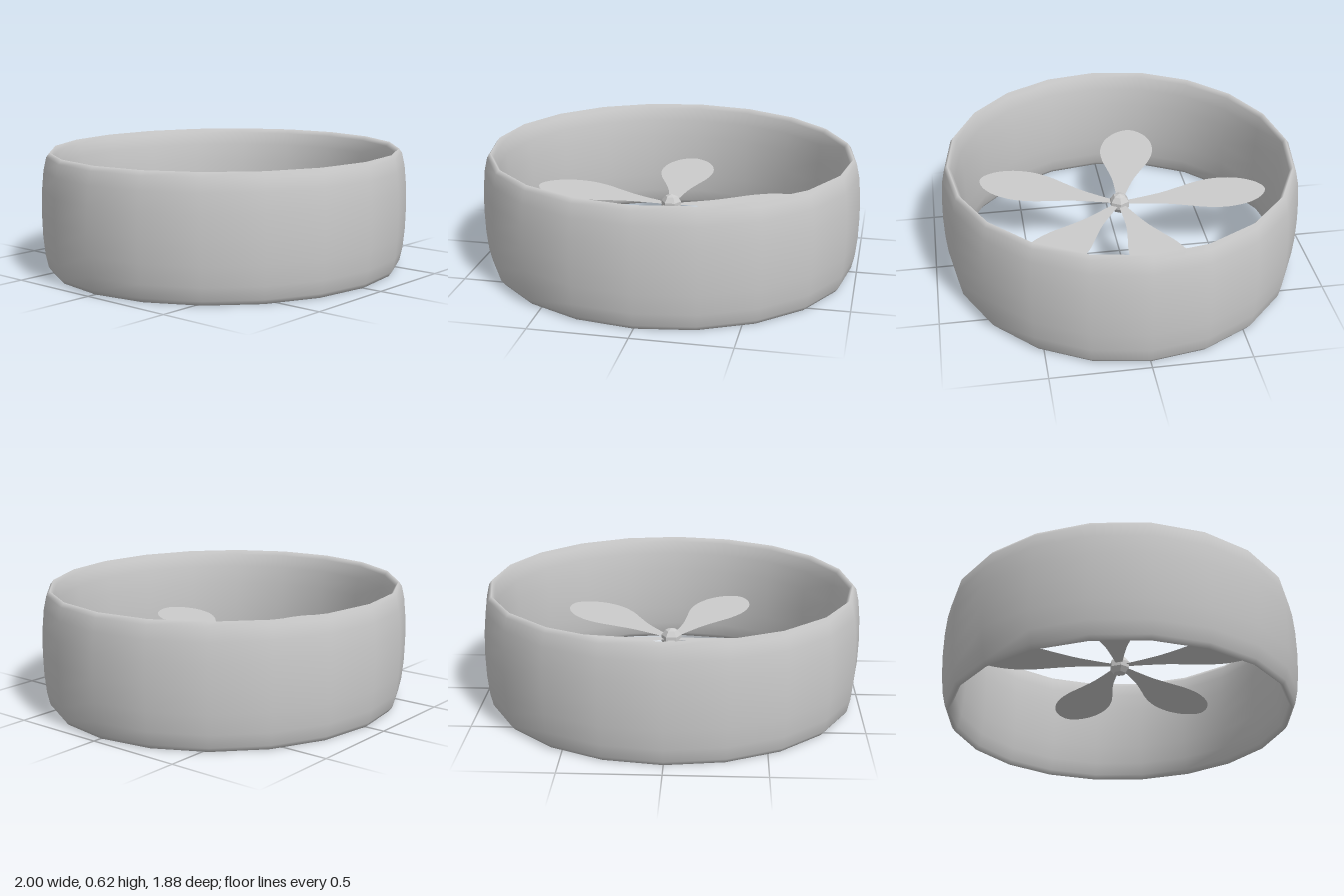
import * as THREE from 'three';

const MID_Y = 0.3125;

// Half of the blade outline: distance from the axis, half width
const BLADE_PROFILE = [
  [0.03, 0.016], [0.12, 0.032], [0.24, 0.058], [0.35, 0.096], [0.45, 0.132],
  [0.56, 0.15], [0.67, 0.135], [0.75, 0.094], [0.795, 0.045],
];
const BLADE_ANGLES = [13, 92, 167, -117, -44];

function bladeGeometry() {
  const upper = BLADE_PROFILE.map(([r, w]) => new THREE.Vector2(r, w));
  const lower = BLADE_PROFILE.map(([r, w]) => new THREE.Vector2(r, -w)).reverse();
  const shape = new THREE.Shape();
  shape.moveTo(upper[0].x, upper[0].y);
  shape.splineThru([...upper.slice(1), new THREE.Vector2(0.81, 0), ...lower]);
  shape.closePath();
  return new THREE.ShapeGeometry(shape, 3).rotateX(-Math.PI / 2);
}

export function createModel() {
  const model = new THREE.Group();
  model.name = 'ductedFan';
  const smooth = new THREE.MeshStandardMaterial({ color: 0xcccccc });
  const faceted = new THREE.MeshStandardMaterial({ color: 0xcccccc, flatShading: true });
  const thin = new THREE.MeshStandardMaterial({ color: 0xcccccc, side: THREE.DoubleSide });

  // Duct: a 20-sided torus stretched tall and slightly narrowed in depth
  const tube = 0.0475;
  const ductGeometry = new THREE.TorusGeometry(1 - tube, tube, 16, 20)
    .rotateX(Math.PI / 2)
    .scale(1, MID_Y / tube, 0.94);
  const duct = new THREE.Mesh(ductGeometry, smooth);
  duct.name = 'duct';
  duct.position.y = MID_Y;
  model.add(duct);

  // Propeller: faceted hub with five flat paddle blades
  const propeller = new THREE.Group();
  propeller.name = 'propeller';
  propeller.position.y = MID_Y;
  const hub = new THREE.Mesh(new THREE.SphereGeometry(0.056, 6, 5), faceted);
  hub.name = 'hub';
  propeller.add(hub);

  const geometry = bladeGeometry();
  BLADE_ANGLES.forEach((angle, i) => {
    const blade = new THREE.Mesh(geometry, thin);
    blade.name = `blade${i + 1}`;
    blade.rotation.y = THREE.MathUtils.degToRad(angle);
    propeller.add(blade);
  });
  model.add(propeller);

  return model;
}
